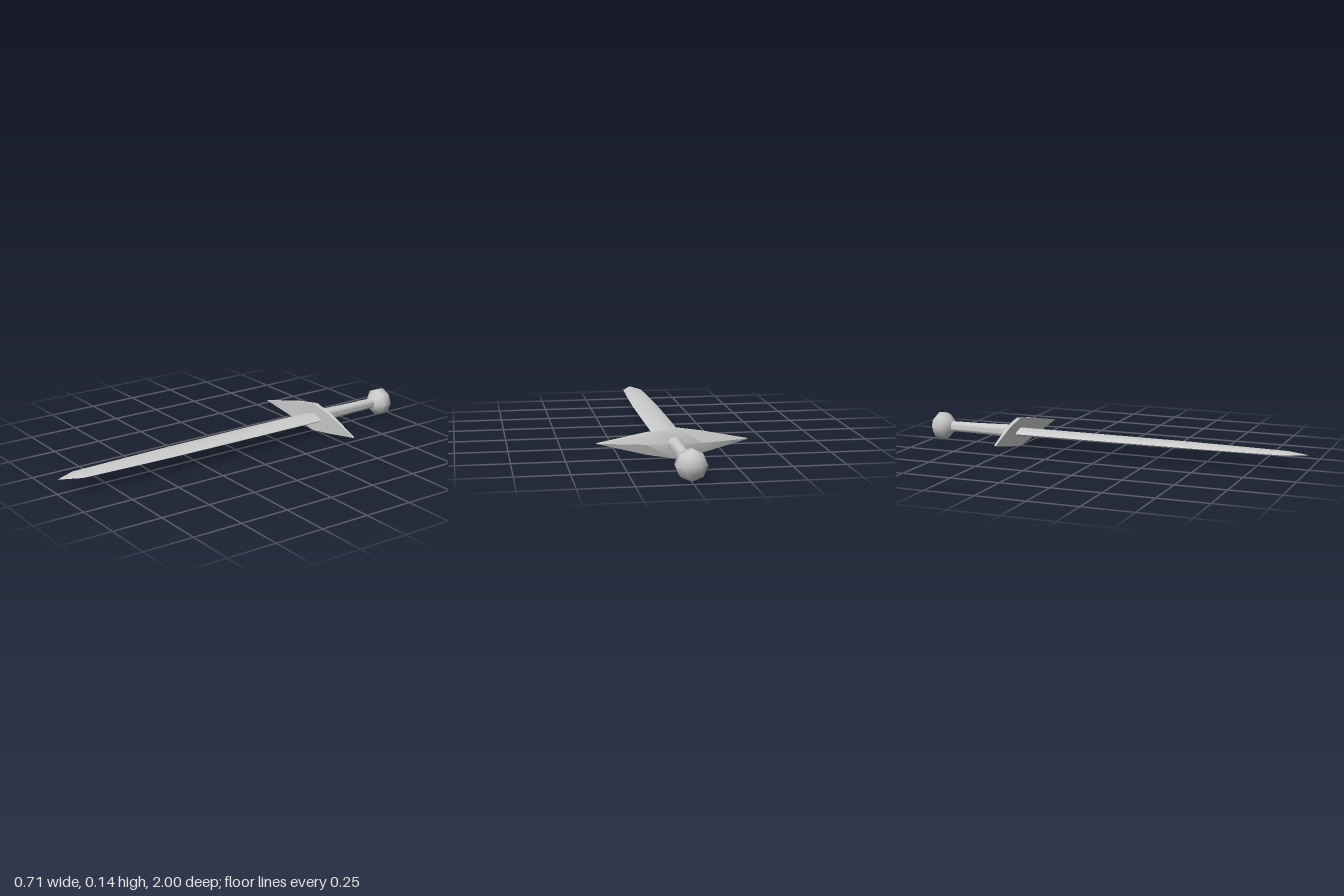
import * as THREE from 'three';
import { toCreasedNormals } from 'three/addons/utils/BufferGeometryUtils.js';

const AXIS_Y = 0.073;

// Closed skin over equal-length rings of [x, y, z], each counter-clockwise about the loft axis
function loft(rings, crease) {
  const n = rings[0].length, index = [];
  for (let i = 0; i < rings.length - 1; i++) {
    for (let j = 0; j < n; j++) {
      const k = (j + 1) % n;
      const a = i * n + j, b = i * n + k, c = b + n, d = a + n;
      index.push(a, b, c, a, c, d);
    }
  }
  const last = (rings.length - 1) * n;
  for (let j = 1; j < n - 1; j++) {
    index.push(0, j + 1, j, last, last + j, last + j + 1);
  }
  const geometry = new THREE.BufferGeometry();
  geometry.setAttribute('position', new THREE.Float32BufferAttribute(rings.flat(2), 3));
  geometry.setIndex(index);
  return toCreasedNormals(geometry, crease);
}

// Revolved part whose profile [radius, z] runs from back to front
function turned(profile, sides, crease) {
  const geometry = new THREE.LatheGeometry(profile.map(([r, z]) => new THREE.Vector2(r, z)), sides);
  geometry.rotateX(Math.PI / 2);
  return toCreasedNormals(geometry, crease);
}

export function createModel() {
  const sword = new THREE.Group();
  sword.name = 'sword';
  const material = new THREE.MeshStandardMaterial({ color: 0xcccccc });
  const add = (name, geometry) => {
    const mesh = new THREE.Mesh(geometry, material);
    mesh.name = name;
    mesh.position.y = AXIS_Y;
    sword.add(mesh);
  };

  // Blade: lens-shaped section [z, half width, half thickness], tapering to the point
  const lens = [[1, 0], [0.72, 0.55], [0, 1], [-0.72, 0.55], [-1, 0], [-0.72, -0.55], [0, -1], [0.72, -0.55]];
  const stations = [
    [-0.51, 0.069, 0.021], [0, 0.068, 0.019], [0.4, 0.066, 0.016],
    [0.65, 0.059, 0.012], [0.89, 0.05, 0.008], [0.995, 0.001, 0.001],
  ];
  add('blade', loft(stations.map(([z, w, t]) => lens.map(([x, y]) => [x * w, y * t, z])), 1));

  // Guard: swept-forward diamond plate [x, half height, ridge z, rim back z, front z]
  const half = [
    [0, 0.072, -0.54, -0.518, -0.495],
    [0.135, 0.05, -0.527, -0.508, -0.488],
    [0.355, 0.001, -0.472, -0.47, -0.461],
  ];
  const mirrored = half.slice(1).reverse().map(([x, ...rest]) => [-x, ...rest]);
  add('guard', loft([...mirrored, ...half].map(([x, h, ridge, rim, front]) => [
    [x, h, rim], [x, h, front], [x, 0, front], [x, -h, front], [x, -h, rim], [x, 0, ridge],
  ]), 0.7));

  // Grip: slim rod, a little thicker towards the guard
  add('grip', turned([[0.027, -0.9], [0.028, -0.75], [0.032, -0.6], [0.035, -0.52]], 10, 1));

  // Pommel: faceted knob
  add('pommel', turned(
    [[0, -1], [0.04, -0.989], [0.069, -0.965], [0.071, -0.92], [0.037, -0.888], [0, -0.876]], 8, 1.1));

  return sword;
}
